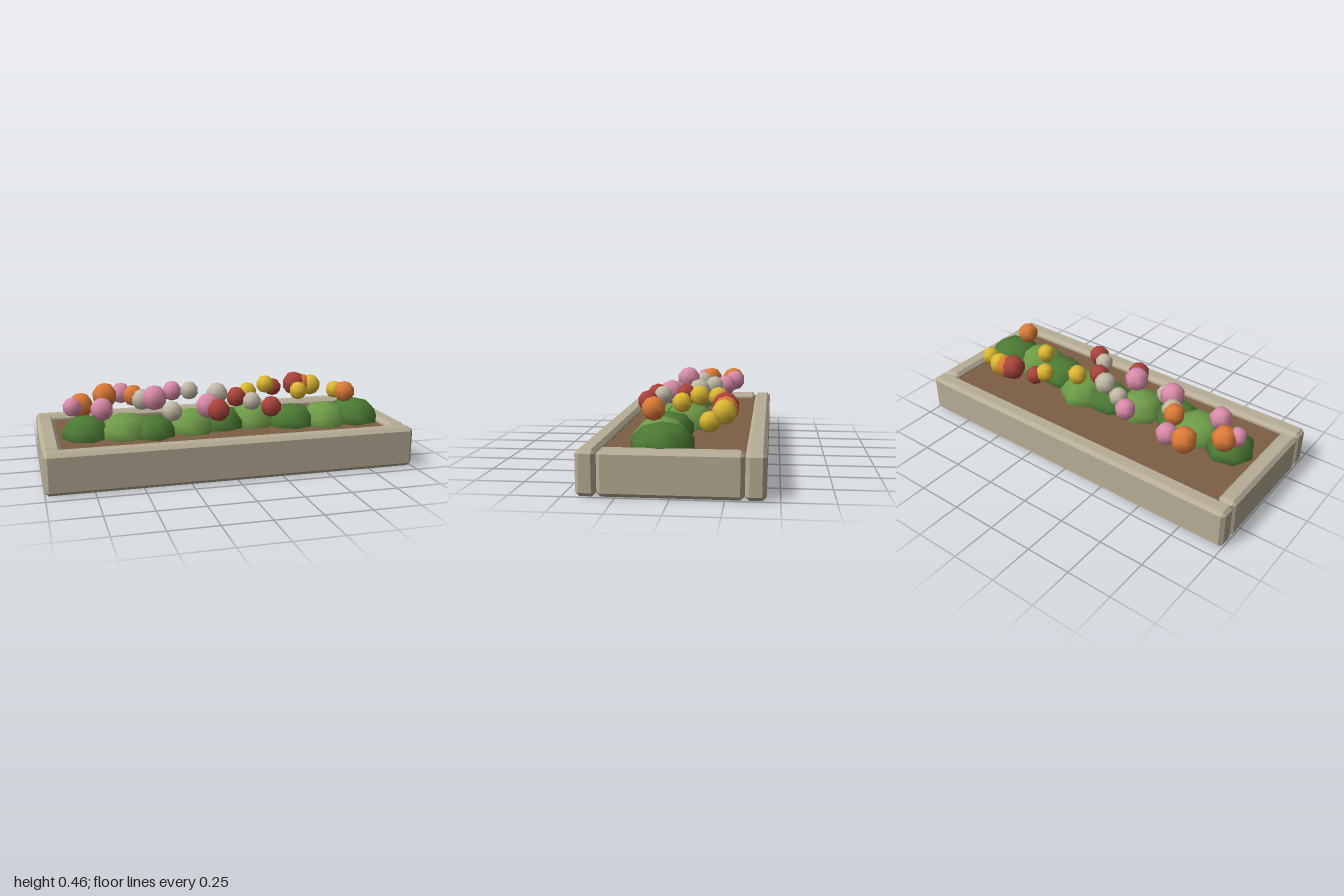
import * as THREE from 'three';
import { ConvexGeometry } from 'three/addons/geometries/ConvexGeometry.js';

const mat = (name, color, side = THREE.FrontSide) => {
  const m = new THREE.MeshStandardMaterial({ color, side });
  m.name = name;
  return m;
};

// Box with every edge chamfered by b
function chamferBox(w, h, d, b) {
  const points = [];
  const [x, y, z] = [w / 2, h / 2, d / 2];
  for (const i of [-1, 1]) for (const j of [-1, 1]) for (const k of [-1, 1]) {
    points.push(
      new THREE.Vector3(i * x, j * (y - b), k * (z - b)),
      new THREE.Vector3(i * (x - b), j * y, k * (z - b)),
      new THREE.Vector3(i * (x - b), j * (y - b), k * z));
  }
  return new ConvexGeometry(points);
}

export function createModel() {
  const model = new THREE.Group();
  model.name = 'flowerBed';

  const stone = mat('stone', 0xb8ae97);
  const soil = mat('soil', 0x7d5e43, THREE.DoubleSide);
  const darkLeaf = mat('darkLeaf', 0x4c7a34);
  const lightLeaf = mat('lightLeaf', 0x6f9c48);
  const petals = {
    pink: mat('pinkPetal', 0xdb8caa),
    orange: mat('orangePetal', 0xdd7b38),
    red: mat('redPetal', 0xab443c),
    yellow: mat('yellowPetal', 0xdeb932),
    cream: mat('creamPetal', 0xc4bba8),
  };

  const add = (parent, name, geometry, material, x, y, z) => {
    const mesh = new THREE.Mesh(geometry, material);
    mesh.name = name;
    mesh.position.set(x, y, z);
    parent.add(mesh);
    return mesh;
  };

  // Border: two long curbs and two short curbs
  const border = new THREE.Group();
  border.name = 'border';
  model.add(border);
  const longCurb = chamferBox(2, 0.22, 0.097, 0.019);
  const shortCurb = chamferBox(0.097, 0.22, 0.676, 0.019);
  for (const s of [-1, 1]) {
    add(border, s > 0 ? 'frontCurb' : 'backCurb', longCurb, stone, 0, 0.11, s * 0.3885);
    add(border, s > 0 ? 'leftCurb' : 'rightCurb', shortCurb, stone, s * 0.9515, 0.11, 0);
  }

  // Soil: hollow box, open at the bottom
  const soilBox = new THREE.BoxGeometry(1.814, 0.19, 0.676);
  const index = Array.from(soilBox.index.array);
  index.splice(18, 6);
  soilBox.setIndex(index);
  soilBox.clearGroups();
  add(model, 'soil', soilBox, soil, 0, 0.095, 0);

  // Low-sided balls shared by the bushes and blossoms
  const ball = new THREE.SphereGeometry(1, 7, 5);

  // Bushes: x, z, half width, half height, half depth
  const bushes = new THREE.Group();
  bushes.name = 'bushes';
  model.add(bushes);
  [
    [-0.75, 0.05, 0.14, 0.11, 0.14],
    [-0.54, 0.07, 0.15, 0.115, 0.15],
    [-0.385, 0.11, 0.12, 0.105, 0.135],
    [-0.17, 0.06, 0.14, 0.115, 0.14],
    [0.01, 0.025, 0.13, 0.11, 0.14],
    [0.195, 0.0, 0.14, 0.125, 0.155],
    [0.415, 0.07, 0.135, 0.11, 0.15],
    [0.605, 0.09, 0.14, 0.115, 0.15],
    [0.79, 0.06, 0.165, 0.12, 0.165],
  ].forEach(([x, z, w, h, d], i) => {
    const bush = add(bushes, 'bush' + (i + 1), ball, i % 2 ? lightLeaf : darkLeaf, x, 0.2, z);
    bush.scale.set(w, h, d);
    bush.rotation.y = i * 1.3;
  });

  // Blossoms: x, y, z, radius
  const blossoms = new THREE.Group();
  blossoms.name = 'blossoms';
  model.add(blossoms);
  const beds = {
    pink: [
      [-0.52, 0.36, -0.22, 0.06], [-0.815, 0.345, -0.01, 0.053], [-0.665, 0.345, 0.08, 0.063],
      [-0.375, 0.385, 0.055, 0.07], [-0.23, 0.365, -0.18, 0.058], [-0.09, 0.34, 0.125, 0.07],
    ],
    orange: [
      [-0.615, 0.355, -0.205, 0.072], [-0.765, 0.34, -0.055, 0.07], [-0.47, 0.375, -0.075, 0.06],
      [0.72, 0.37, 0.11, 0.06], [0.58, 0.35, -0.23, 0.065],
    ],
    red: [
      [0.535, 0.36, -0.225, 0.07], [0.39, 0.35, -0.2, 0.052], [0.1, 0.355, 0.02, 0.057],
      [0.245, 0.335, 0.21, 0.058], [-0.05, 0.33, 0.2, 0.062],
    ],
    yellow: [
      [0.335, 0.375, -0.175, 0.053], [0.64, 0.345, -0.225, 0.063], [0.775, 0.32, -0.165, 0.052],
      [0.48, 0.365, 0.0, 0.052], [0.19, 0.36, -0.065, 0.056],
    ],
    cream: [
      [-0.43, 0.36, -0.03, 0.06], [-0.29, 0.32, 0.125, 0.056], [0.005, 0.365, -0.045, 0.063],
      [-0.14, 0.375, -0.12, 0.053], [0.155, 0.355, 0.14, 0.052],
    ],
  };
  for (const [colour, list] of Object.entries(beds)) {
    list.forEach(([x, y, z, r], i) => {
      const blossom = add(blossoms, colour + 'Blossom' + (i + 1), ball, petals[colour], x, y, z);
      blossom.scale.setScalar(r);
      blossom.rotation.y = i * 0.9;
    });
  }

  return model;
}
